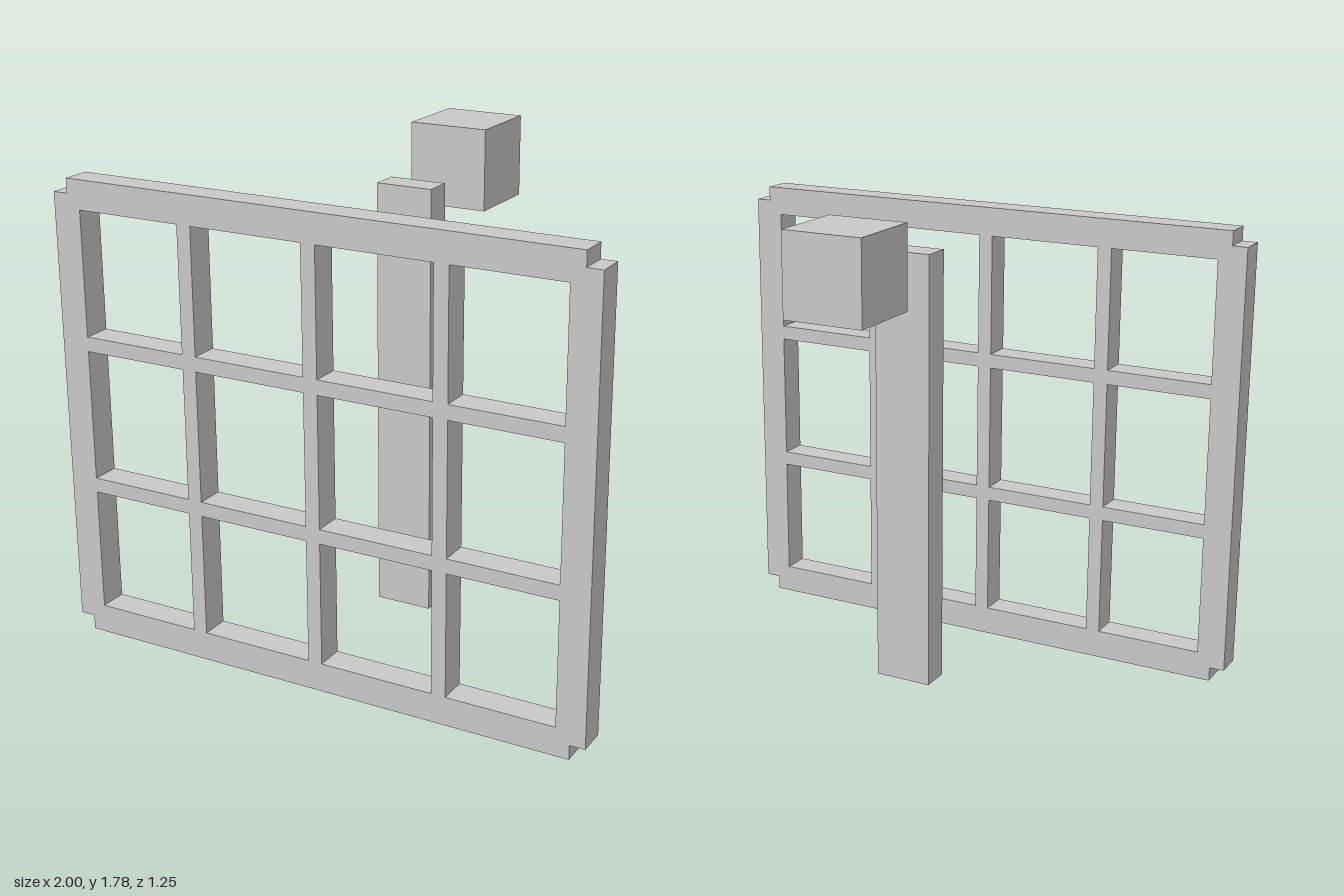
import * as THREE from 'three';

export function createModel() {
  const model = new THREE.Group();
  const grey = new THREE.MeshStandardMaterial({ color: 0xc8c8c8, side: THREE.DoubleSide });
  grey.name = 'lightGrey';

  // Box with an open underside, given by its centre and size
  function openBox(name, parent, [x, y, z], [w, h, d]) {
    const geometry = new THREE.BoxGeometry(w, h, d);
    const index = Array.from(geometry.index.array);
    index.splice(18, 6); // drop the bottom face
    geometry.setIndex(index);
    geometry.clearGroups();
    const mesh = new THREE.Mesh(geometry, grey);
    mesh.name = name;
    mesh.position.set(x, y, z);
    parent.add(mesh);
  }

  const frame = new THREE.Group();
  frame.name = 'windowFrame';
  model.add(frame);
  const midY = 0.8425, frameZ = 0.574, thick = 0.105, bar = 0.053;
  const spanX = 1.89, spanY = 1.58;

  // Outer frame: rails and stiles overlap, leaving notched corners
  for (const side of [-1, 1]) {
    openBox(side < 0 ? 'bottomRail' : 'topRail', frame,
      [0, midY + side * 0.79, frameZ], [spanX, thick, thick]);
    openBox(side < 0 ? 'rightStile' : 'leftStile', frame,
      [side * 0.9475, midY, frameZ], [thick, spanY, thick]);
  }

  // Glazing bars
  for (const x of [-0.473, 0, 0.473])
    openBox('verticalBar', frame, [x, midY, frameZ], [bar, spanY, thick]);
  for (const side of [-1, 1])
    openBox('horizontalBar', frame, [0, midY + side * 0.263, frameZ], [spanX, bar, thick]);

  // Free-standing post and floating block behind the frame
  openBox('post', model, [0, midY, -0.058], [0.21, spanY, thick]);
  openBox('block', model, [0, 1.635, -0.48], [0.293, 0.293, 0.293]);

  return model;
}
